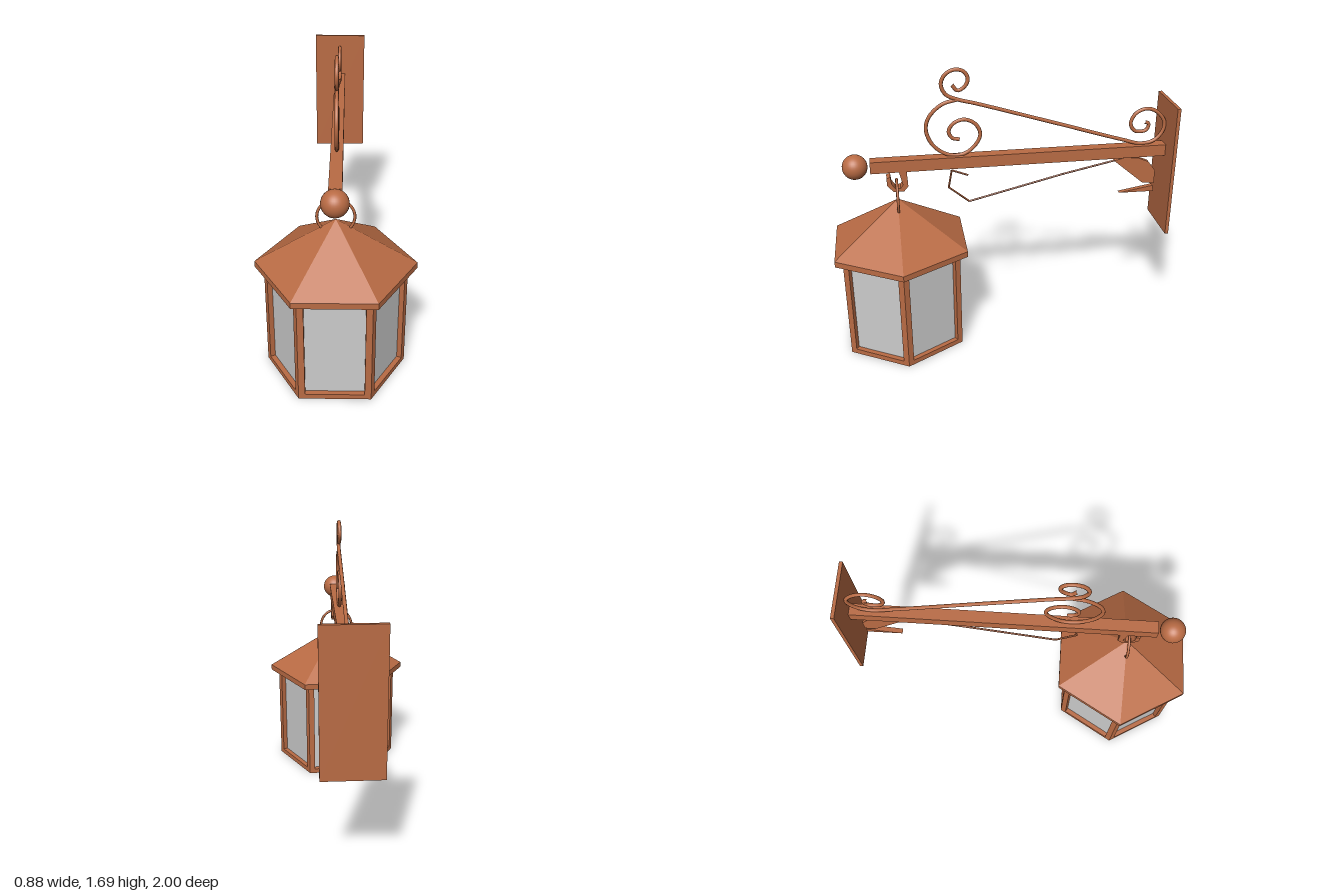
import * as THREE from 'three';

const copper = new THREE.MeshStandardMaterial({ color: 0xb96b44, side: THREE.DoubleSide, flatShading: true });
const smoothCopper = new THREE.MeshStandardMaterial({ color: 0xb96b44 });
const glass = new THREE.MeshStandardMaterial({ color: 0xcccccc, side: THREE.DoubleSide });

const LANTERN_Z = 0.615;
const BODY_R = 0.39;

function add(parent, name, geometry, material, x = 0, y = 0, z = 0) {
  const mesh = new THREE.Mesh(geometry, material);
  mesh.name = name;
  mesh.position.set(x, y, z);
  parent.add(mesh);
  return mesh;
}

// Hexagonal prism or cone with corners on the x axis
function hex(rTop, rBottom, height, open = false) {
  return new THREE.CylinderGeometry(rTop, rBottom, height, 6, 1, open).rotateY(Math.PI / 6);
}

// Round bar along [z, y] points in the x = 0 plane
function bar(points, radius, steps) {
  const curve = new THREE.CatmullRomCurve3(points.map(([z, y]) => new THREE.Vector3(0, y, z)), false, 'centripetal');
  return new THREE.TubeGeometry(curve, steps, radius, 8, false);
}

// Plate with a [z, y] outline, centred on x = 0
function plate(points, width) {
  const shape = new THREE.Shape(points.map(([z, y]) => new THREE.Vector2(-z, y)));
  return new THREE.ExtrudeGeometry(shape, { depth: width, bevelEnabled: false })
    .translate(0, 0, -width / 2).rotateY(Math.PI / 2);
}

function createLantern() {
  const lantern = new THREE.Group();
  lantern.name = 'lantern';
  lantern.position.z = LANTERN_Z;

  // Roof with a hollow eave band
  add(lantern, 'roof', hex(0, 0.44, 0.265), copper, 0, 0.7875);
  add(lantern, 'eaveBand', hex(0.44, 0.44, 0.035, true), copper, 0, 0.6375);
  add(lantern, 'floor', hex(BODY_R - 0.002, BODY_R - 0.002, 0.02), copper, 0, 0.011);

  // Six framed panes
  const half = BODY_R / 2, apothem = BODY_R * Math.cos(Math.PI / 6);
  const frame = new THREE.Shape([[-half, 0], [half, 0], [half, 0.65], [-half, 0.65]].map(p => new THREE.Vector2(...p)));
  const w = half - 0.035;
  frame.holes.push(new THREE.Path([[-w, 0.03], [-w, 0.62], [w, 0.62], [w, 0.03]].map(p => new THREE.Vector2(...p))));
  const frameGeometry = new THREE.ExtrudeGeometry(frame, { depth: 0.04, bevelEnabled: false })
    .translate(0, 0, apothem - 0.04);
  const paneGeometry = new THREE.BoxGeometry(2 * w, 0.59, 0.006).translate(0, 0.325, apothem - 0.032);
  for (let i = 0; i < 6; i++) {
    const side = new THREE.Group();
    side.name = 'lanternSide';
    side.rotation.y = i * Math.PI / 3;
    add(side, 'sideFrame', frameGeometry, copper);
    add(side, 'pane', paneGeometry, glass);
    lantern.add(side);
  }

  // Hanging ring through the roof peak
  add(lantern, 'hangingRing', new THREE.TorusGeometry(0.1, 0.008, 8, 40), smoothCopper, 0, 0.935);
  return lantern;
}

function createBracket() {
  const bracket = new THREE.Group();
  bracket.name = 'bracket';

  add(bracket, 'wallPlate', new THREE.BoxGeometry(0.33, 0.8, 0.02), copper, 0, 1.04, -0.99);
  add(bracket, 'beam', new THREE.BoxGeometry(0.07, 0.07, 1.74), copper, 0, 1.137, -0.11);
  add(bracket, 'endBall', new THREE.SphereGeometry(0.072, 32, 20), smoothCopper, 0, 1.137, 0.845);

  // Faceted hook under the beam
  add(bracket, 'hook', plate([
    [0.60, 1.105], [0.555, 1.105], [0.55, 1.01], [0.575, 0.98], [0.635, 0.98], [0.67, 1.02],
    [0.672, 1.065], [0.65, 1.075], [0.645, 1.03], [0.625, 1.0], [0.595, 1.0], [0.58, 1.02]
  ], 0.066), copper);

  // Long scroll: upper curl, sloping bar, curl at the wall
  add(bracket, 'longScroll', bar([
    [0.28, 1.595], [0.25, 1.56], [0.21, 1.58], [0.19, 1.62], [0.21, 1.665], [0.26, 1.68], [0.315, 1.655],
    [0.34, 1.60], [0.315, 1.54], [0.25, 1.508], [0.15, 1.48], [-0.3, 1.34], [-0.72, 1.208],
    [-0.83, 1.178], [-0.91, 1.19], [-0.96, 1.24], [-0.97, 1.305], [-0.92, 1.37], [-0.855, 1.393],
    [-0.79, 1.365], [-0.765, 1.305], [-0.795, 1.258], [-0.86, 1.26], [-0.875, 1.30], [-0.85, 1.31]
  ], 0.011, 220), smoothCopper);

  // C scroll joining the upper curl to the beam
  add(bracket, 'cScroll', bar([
    [0.25, 1.508], [0.34, 1.482], [0.415, 1.41], [0.433, 1.335], [0.395, 1.24], [0.31, 1.18], [0.22, 1.18],
    [0.15, 1.235], [0.125, 1.295], [0.15, 1.355], [0.215, 1.388], [0.28, 1.365], [0.305, 1.32],
    [0.285, 1.28], [0.245, 1.27]
  ], 0.011, 140), smoothCopper);

  // Thin angular brace below the beam
  const brace = new THREE.CurvePath();
  const corners = [[0.20, 1.043], [0.295, 1.08], [0.315, 0.972], [0.195, 0.872], [-0.37, 1.01], [-0.70, 1.08]]
    .map(([z, y]) => new THREE.Vector3(0, y, z));
  for (let i = 1; i < corners.length; i++) brace.add(new THREE.LineCurve3(corners[i - 1], corners[i]));
  brace.curves.forEach(line => add(bracket, 'brace', new THREE.TubeGeometry(line, 1, 0.006, 5), copper));

  // Folded foot of the brace near the wall
  add(bracket, 'braceFoot', plate([
    [-0.675, 1.08], [-0.74, 1.095], [-0.82, 1.09], [-0.89, 1.06], [-0.935, 1.0], [-0.935, 0.915], [-0.86, 0.925]
  ], 0.03), copper);
  add(bracket, 'braceTip', plate([[-0.72, 0.865], [-0.935, 0.862], [-0.93, 0.90]], 0.03), copper);
  return bracket;
}

export function createModel() {
  const model = new THREE.Group();
  model.name = 'wallLantern';
  model.add(createLantern(), createBracket());
  return model;
}
